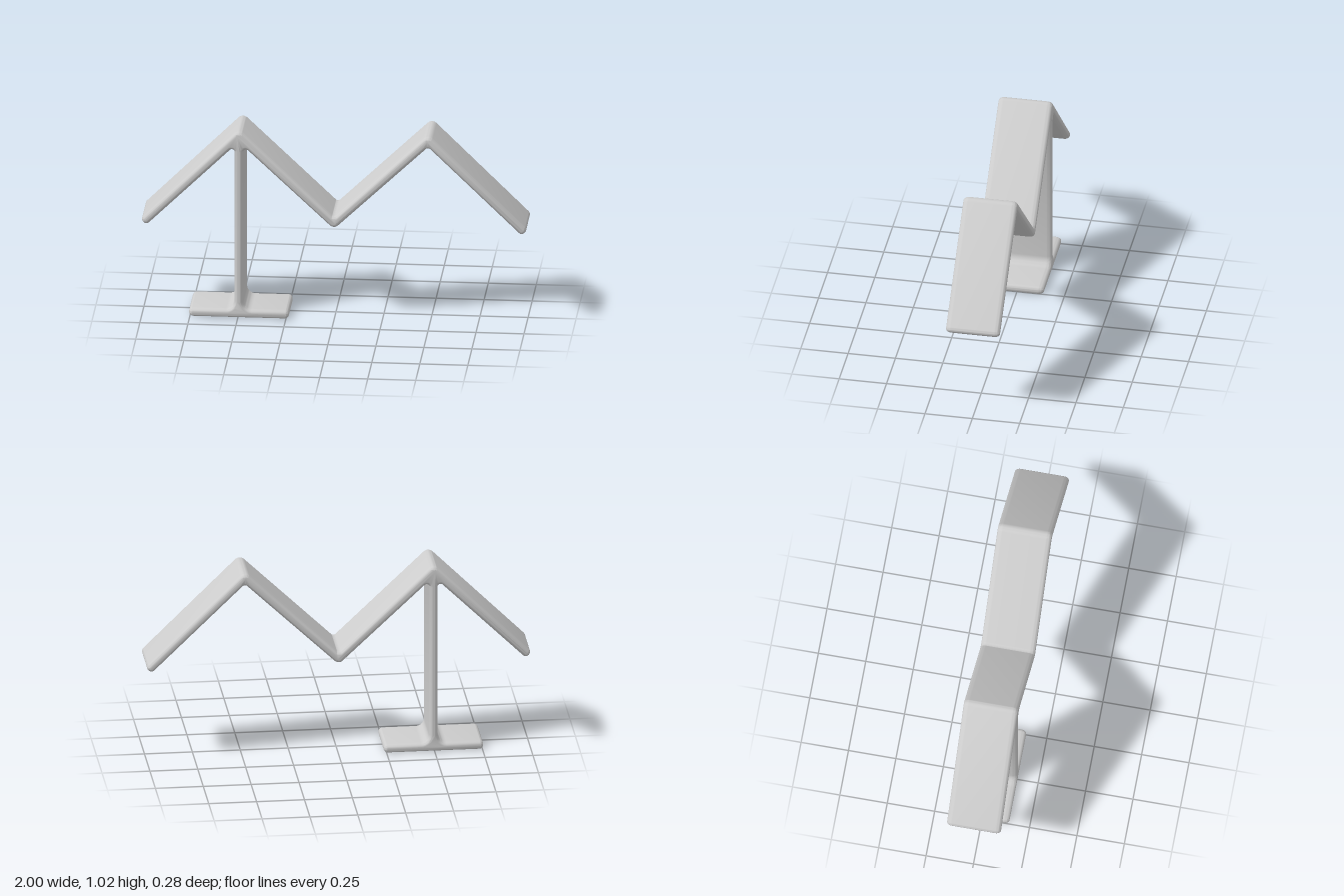
import * as THREE from 'three';
import { mergeVertices, toCreasedNormals } from 'three/addons/utils/BufferGeometryUtils.js';

// Closed outline from corners [x, y, radius], each corner replaced by a circular arc
function roundedShape(corners, segments = 8) {
  const points = [];
  const n = corners.length;
  corners.forEach(([x, y, r], i) => {
    const p = new THREE.Vector2(x, y);
    const toward = (c) => new THREE.Vector2(c[0], c[1]).sub(p).normalize();
    const u = toward(corners[(i + n - 1) % n]);
    const v = toward(corners[(i + 1) % n]);
    const half = Math.acos(u.dot(v)) / 2;
    const centre = u.clone().add(v).normalize().multiplyScalar(r / Math.sin(half)).add(p);
    const t = r / Math.tan(half);
    const a0 = p.clone().addScaledVector(u, t).sub(centre).angle();
    let sweep = p.clone().addScaledVector(v, t).sub(centre).angle() - a0;
    sweep = Math.atan2(Math.sin(sweep), Math.cos(sweep));
    for (let k = 0; k <= segments; k++) {
      const a = a0 + (sweep * k) / segments;
      points.push(new THREE.Vector2(centre.x + r * Math.cos(a), centre.y + r * Math.sin(a)));
    }
  });
  return new THREE.Shape(points);
}

export function createModel() {
  const grey = new THREE.MeshStandardMaterial({ color: 0xcccccc });
  grey.name = 'light grey';

  const END = 0.0215; // rounding of the free plate ends
  const outline = roundedShape([
    // foot plate, right half, and post
    [-0.755, 0, END], [-0.235, 0, END], [-0.235, 0.046, END], [-0.4725, 0.046, 0.045],
    // underside of the zigzag
    [-0.4725, 0.945, 0.014], [0, 0.501, 0.032], [0.49, 0.968, 0.015],
    // right tip and upper side
    [0.977, 0.495, END], [1.009, 0.527, END], [0.49, 1.038, 0.035],
    [0, 0.567, 0.015], [-0.495, 1.038, 0.035], [-1.009, 0.527, END],
    // left tip, back down the post to the foot plate
    [-0.977, 0.495, END], [-0.5175, 0.945, 0.014], [-0.5175, 0.046, 0.045], [-0.755, 0.046, END],
  ]);

  // One continuous bent plate with softly rounded long edges
  const halfDepth = 0.142, bevel = 0.028;
  const extruded = new THREE.ExtrudeGeometry(outline, {
    depth: 2 * (halfDepth - bevel),
    bevelThickness: bevel,
    bevelSize: 0.018,
    bevelOffset: -0.018,
    bevelSegments: 6,
  });
  extruded.translate(0, 0, bevel - halfDepth);
  extruded.deleteAttribute('uv');
  extruded.deleteAttribute('normal');
  extruded.clearGroups();

  const stand = new THREE.Mesh(toCreasedNormals(mergeVertices(extruded, 1e-5), 0.7), grey);
  stand.name = 'zigzagPlateWithPostAndFoot';

  const group = new THREE.Group();
  group.name = 'zigzagStand';
  group.add(stand);
  return group;
}
